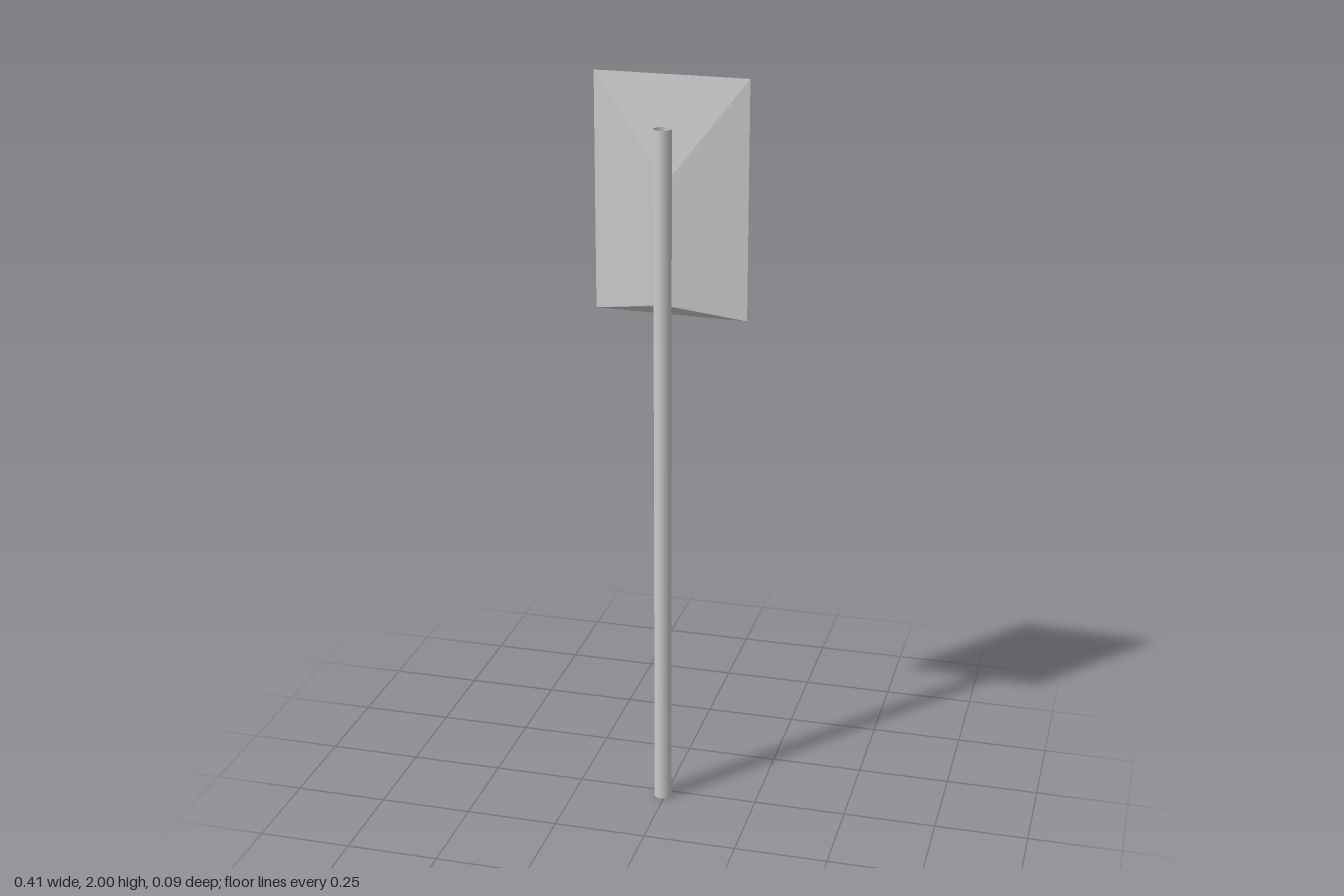
import * as THREE from 'three';
import { ConvexGeometry } from 'three/addons/geometries/ConvexGeometry.js';

const POLE_RADIUS = 0.024;
const POLE_HEIGHT = 1.875;

export function createModel() {
  const group = new THREE.Group();
  group.name = 'signpost';

  // Open-ended tubular pole
  const pole = new THREE.Mesh(
    new THREE.CylinderGeometry(POLE_RADIUS, POLE_RADIUS, POLE_HEIGHT, 12, 1, true),
    new THREE.MeshStandardMaterial({ color: 0xcccccc, side: THREE.DoubleSide })
  );
  pole.name = 'pole';
  pole.position.set(-0.007, POLE_HEIGHT / 2, 0.0235);
  group.add(pole);

  // Slightly turned flat back, tapering forward to a narrow upright ridge at the pole
  const backEdges = [[-0.204, -0.047], [0.203, -0.025]];
  const ridge = [[-0.02, -0.004], [0, -0.001], [0.02, -0.003]];
  const points = [];
  const addUprights = (outline, bottom, top) => {
    for (const [x, z] of outline) {
      points.push(new THREE.Vector3(x, bottom, z), new THREE.Vector3(x, top, z));
    }
  };
  addUprights(backEdges, 1.38, 2);
  addUprights(ridge, 1.412, 1.74);

  const panel = new THREE.Mesh(
    new ConvexGeometry(points),
    new THREE.MeshStandardMaterial({ color: 0xcccccc, flatShading: true })
  );
  panel.name = 'signPanel';
  group.add(panel);

  return group;
}
